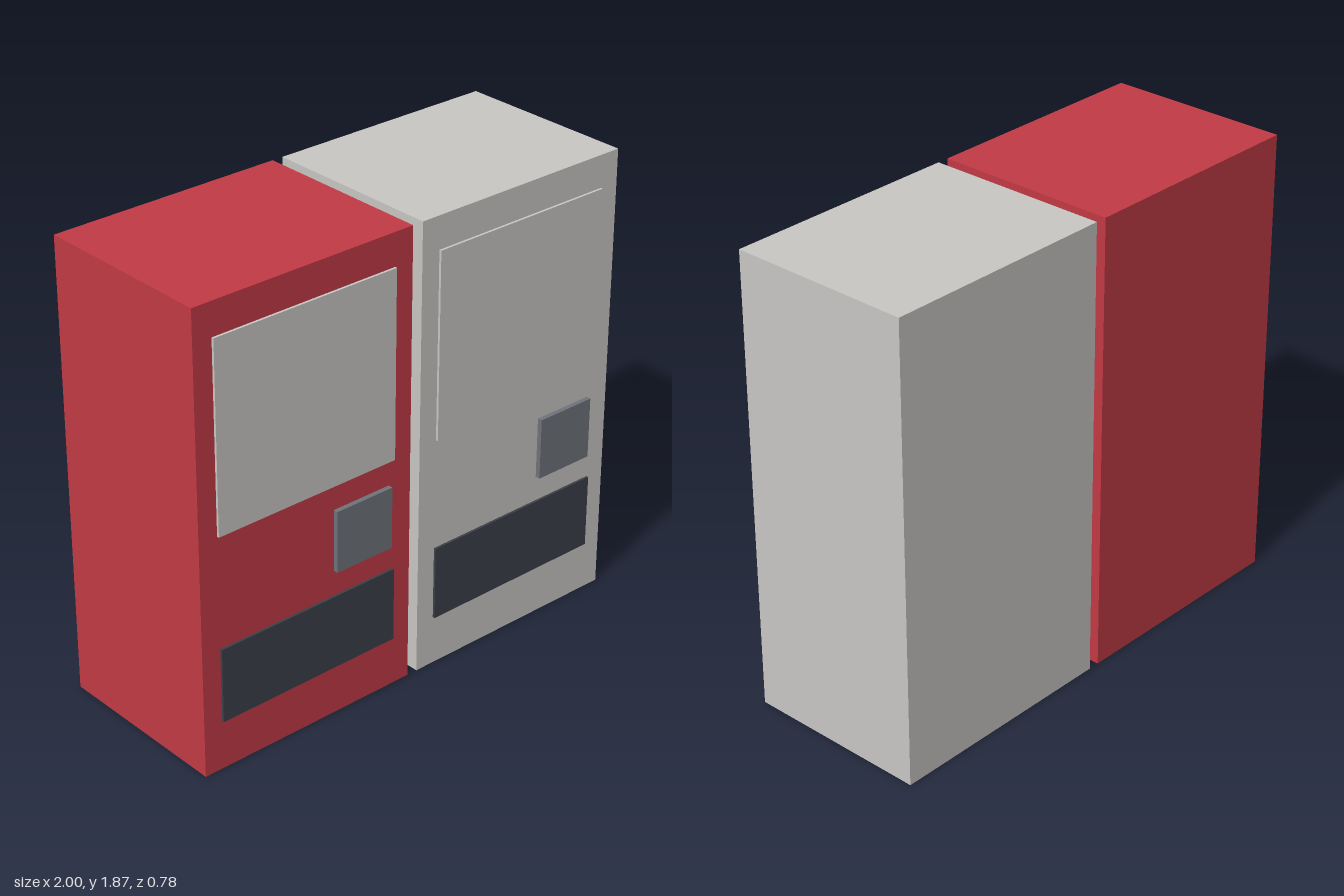
import * as THREE from 'three';

const mat = (name, color, side = THREE.FrontSide) => {
  const m = new THREE.MeshStandardMaterial({ color, side });
  m.name = name;
  return m;
};

// Box given by its limits on each axis
function box(name, [x0, x1], [y0, y1], [z0, z1], material) {
  const geometry = new THREE.BoxGeometry(x1 - x0, y1 - y0, z1 - z0);
  const mesh = new THREE.Mesh(geometry, material);
  mesh.position.set((x0 + x1) / 2, (y0 + y1) / 2, (z0 + z1) / 2);
  mesh.name = name;
  return mesh;
}

// Remove the underside of a box, leaving a hollow shell
function openBottom(mesh) {
  const g = mesh.geometry;
  const bottom = g.groups[3];
  const index = Array.from(g.index.array);
  index.splice(bottom.start, bottom.count);
  g.setIndex(index);
  g.clearGroups();
  return mesh;
}

export function createModel() {
  const red = mat('red paint', 0xc23a45, THREE.DoubleSide);
  const lightGrey = mat('light grey', 0xc8c7c4, THREE.DoubleSide);
  const midGrey = mat('slate grey', 0x6f747b);
  const dark = mat('dark grey', 0x3b4048);

  const W = 0.977, H = 1.87, FRONT = 0.366, BACK = -0.39;

  // One vending machine, measured from its right edge at x = 0
  function machine(name, paint) {
    const g = new THREE.Group();
    g.name = name;
    g.add(
      openBottom(box('cabinet', [0, W], [0, H], [BACK, FRONT], paint)),
      box('displayWindow', [0.081, 0.894], [0.973, 1.737], [FRONT - 0.002, 0.376], lightGrey),
      box('paymentPanel', [0.61, 0.873], [0.617, 0.871], [FRONT - 0.002, 0.386], midGrey),
      box('dispensingSlot', [0.081, 0.894], [0.206, 0.512], [FRONT - 0.002, 0.376], dark)
    );
    return g;
  }

  const model = new THREE.Group();
  model.name = 'vendingMachines';
  const redMachine = machine('redMachine', red);
  redMachine.position.x = -1;
  const greyMachine = machine('greyMachine', lightGrey);
  greyMachine.position.x = 1 - W;
  model.add(redMachine, greyMachine);
  return model;
}
